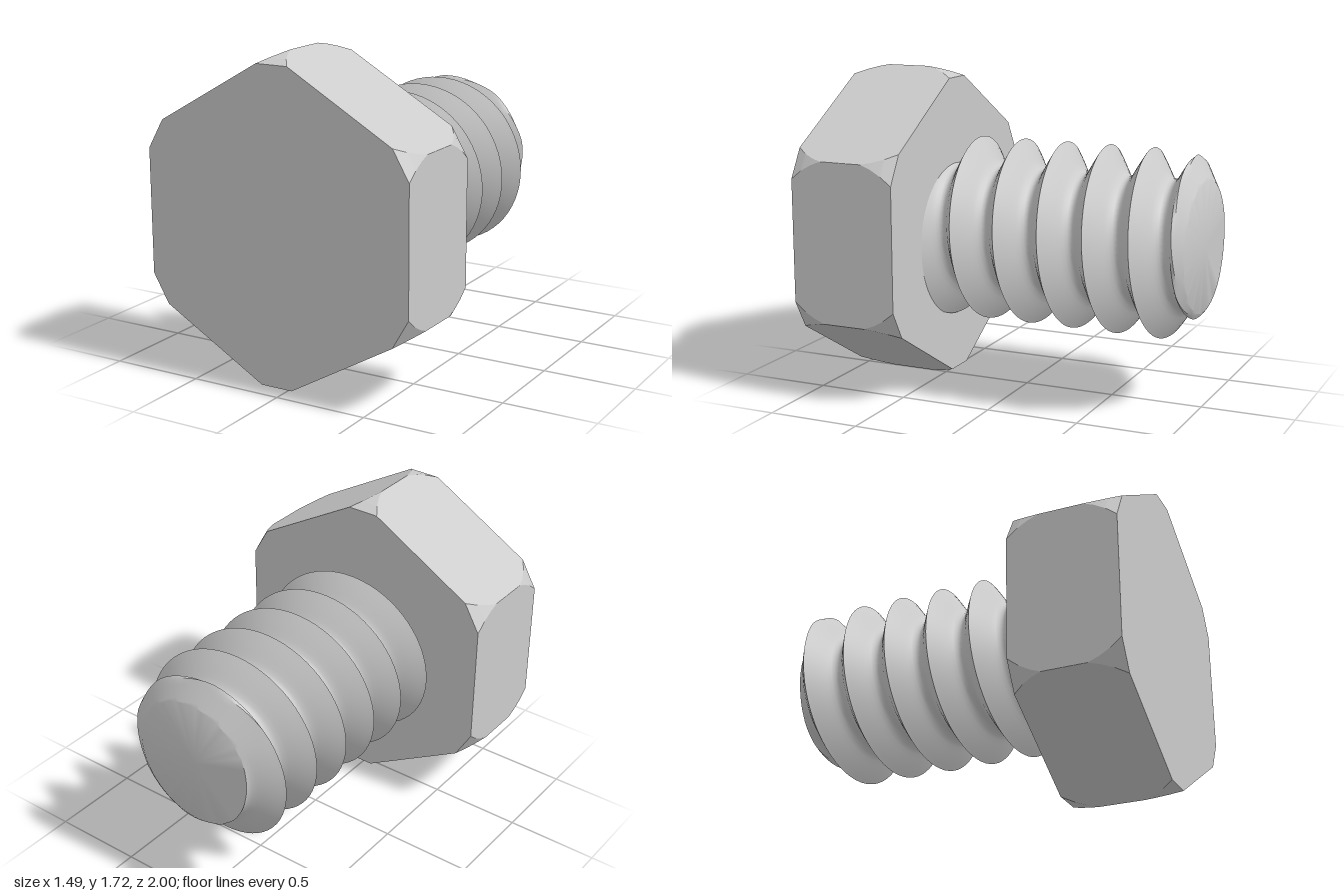
import * as THREE from 'three';
import { toCreasedNormals } from 'three/addons/utils/BufferGeometryUtils.js';

const AXIS_Y = 0.86;               // height of the bolt's axis
const BACK = -1, SHOULDER = 0.415, FRONT = 1;
const CORNER = 0.86, FLAT = CORNER * Math.cos(Math.PI / 6);
const PITCH = 0.2445, ROOT = 0.336, CREST = 0.492;

// Skin rings of points ordered by rising z, each ring running anticlockwise
function skin(rings) {
  const pos = [], n = rings[0].length;
  const tri = (a, b, c) => {
    const area = b.clone().sub(a).cross(c.clone().sub(a)).length();
    if (area > 1e-9) for (const p of [a, b, c]) pos.push(p.x, p.y, p.z);
  };
  for (let i = 0; i < rings.length - 1; i++) {
    for (let j = 0; j < n; j++) {
      const k = (j + 1) % n, lo = rings[i], hi = rings[i + 1];
      tri(lo[j], lo[k], hi[j]);
      tri(lo[k], hi[k], hi[j]);
    }
  }
  const g = new THREE.BufferGeometry();
  g.setAttribute('position', new THREE.Float32BufferAttribute(pos, 3));
  return g;
}

const polar = (r, a, z) => new THREE.Vector3(r * Math.cos(a), r * Math.sin(a), z);

// Hexagon whose corners are trimmed by a barrel-shaped surface of revolution
function headGeometry() {
  const mid = (SHOULDER + FRONT) / 2, half = (FRONT - SHOULDER) / 2;
  const ring = (z, scale = 1) => {
    const t = (z - mid) / half;
    const barrel = Math.min(CORNER, 0.869 - 0.055 * t * t);
    const cut = Math.max(0, Math.PI / 6 - Math.acos(FLAT / barrel));
    const pts = [];
    for (let c = 0; c < 6; c++) {
      const a = Math.PI / 2 + c * Math.PI / 3;
      pts.push(polar(barrel * scale, a - cut, z),
        polar(barrel * Math.cos(cut) * scale, a, z),
        polar(barrel * scale, a + cut, z));
    }
    return pts;
  };
  const levels = [-1, -0.8, -0.6, -0.405, 0.405, 0.6, 0.8, 1].map(t => mid + t * half);
  return skin([ring(SHOULDER, 0), ...levels.map(z => ring(z)), ring(FRONT, 0)]);
}

// Height of the thread flank from root (u = 0) to crest (u = 1)
const FLANK = [0, 0.03, 0.12, 0.26, 0.42, 0.57, 0.72, 0.86, 1];
function flank(u) {
  const s = Math.min(u, 0.99999) * (FLANK.length - 1), i = Math.floor(s);
  return FLANK[i] + (FLANK[i + 1] - FLANK[i]) * (s - i);
}

function threadRadius(z, a) {
  const turns = (z - 0.215) / PITCH - a / (2 * Math.PI);
  const fromCrest = Math.abs(turns - Math.round(turns));
  const r = ROOT + (CREST - ROOT) * flank(1 - 2 * fromCrest);
  return Math.min(r, 0.345 + 1.65 * (z - BACK));   // lead-in chamfer at the tip
}

// Right-handed thread: rows follow the helix, clamped to the shank's ends
function threadGeometry() {
  const SEG = 64, STEPS = 16, step = PITCH / STEPS, rings = [];
  const first = 0.215 - 7 * PITCH;
  const rows = Math.ceil((SHOULDER - first) / step) + 1;
  for (let i = 0; i <= rows; i++) {
    const ring = [];
    for (let j = 0; j <= SEG; j++) {
      const a = (j / SEG) * 2 * Math.PI;
      const z = THREE.MathUtils.clamp(first + i * step + PITCH * j / SEG, BACK, SHOULDER);
      ring.push(polar(threadRadius(z, a), a, z));
    }
    rings.push(ring);
  }
  // flat tip, then the open helical rows (last column sits one pitch further on)
  const tip = [], rim = [];
  for (let j = 0; j <= SEG; j++) {
    const a = (j / SEG) * 2 * Math.PI;
    tip.push(polar(0, a, BACK));
    rim.push(polar(threadRadius(BACK, a), a, BACK));
  }
  const all = [tip, rim, ...rings];
  const pos = [];
  const tri = (a, b, c) => {
    const area = b.clone().sub(a).cross(c.clone().sub(a)).length();
    if (area > 1e-9) for (const p of [a, b, c]) pos.push(p.x, p.y, p.z);
  };
  for (let i = 0; i < all.length - 1; i++) {
    for (let j = 0; j < SEG; j++) {
      tri(all[i][j], all[i][j + 1], all[i + 1][j]);
      tri(all[i][j + 1], all[i + 1][j + 1], all[i + 1][j]);
    }
  }
  const g = new THREE.BufferGeometry();
  g.setAttribute('position', new THREE.Float32BufferAttribute(pos, 3));
  return toCreasedNormals(g, 0.6);
}

export function createModel() {
  const bolt = new THREE.Group();
  bolt.name = 'hexBolt';

  const head = new THREE.Mesh(toCreasedNormals(headGeometry(), 0.1),
    new THREE.MeshStandardMaterial({ color: 0xcccccc }));
  head.name = 'hexHead';

  const shank = new THREE.Mesh(threadGeometry(),
    new THREE.MeshStandardMaterial({ color: 0xcccccc }));
  shank.name = 'threadedShank';

  for (const part of [head, shank]) {
    part.position.y = AXIS_Y;
    bolt.add(part);
  }
  return bolt;
}
